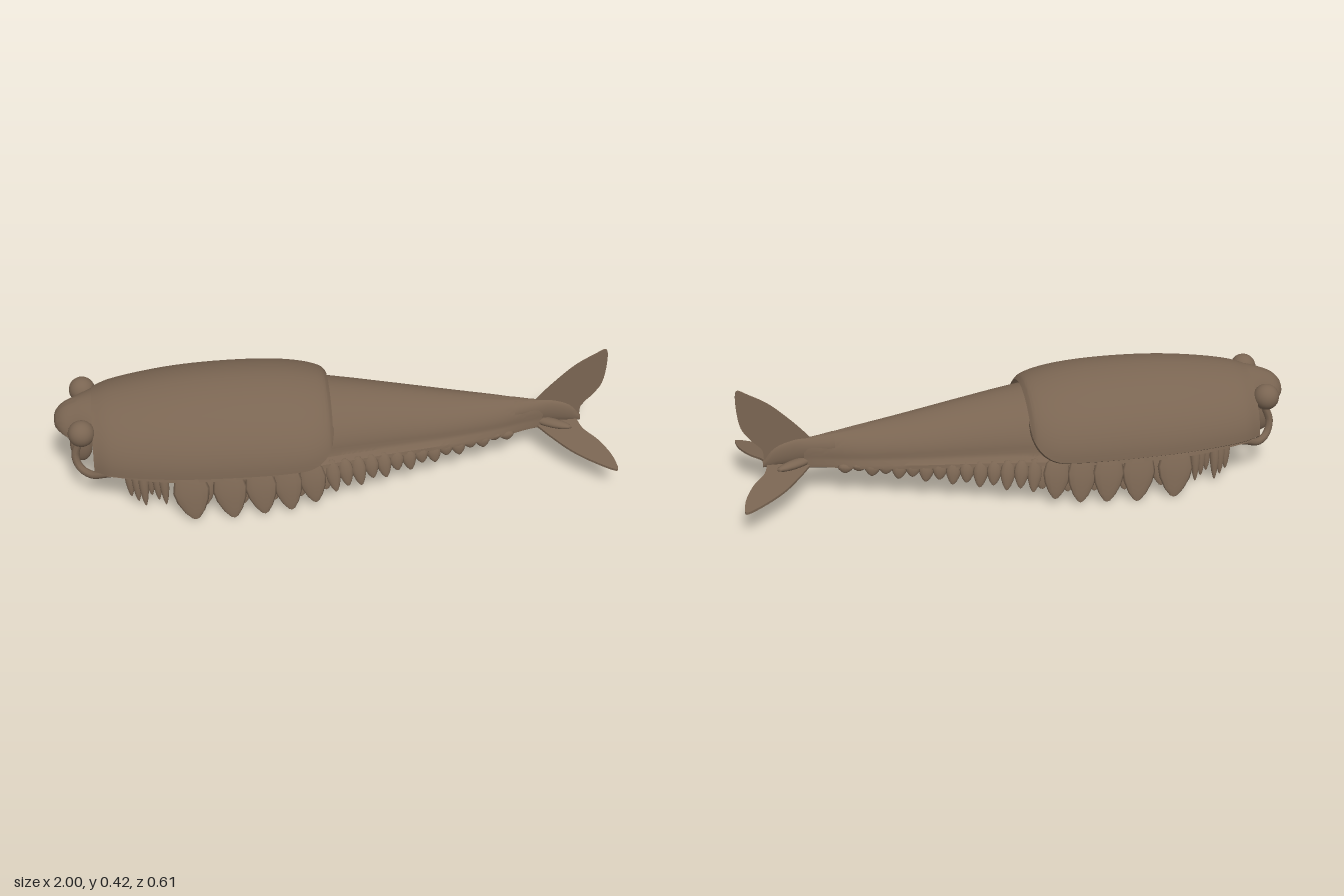
import * as THREE from 'three';
import { toCreasedNormals } from 'three/addons/utils/BufferGeometryUtils.js';

const shellBrown = new THREE.MeshStandardMaterial({ color: 0x7a6552, side: THREE.DoubleSide });
shellBrown.name = 'shell brown';

function part(name, geometry, parent) {
  const mesh = new THREE.Mesh(geometry, shellBrown);
  mesh.name = name;
  parent.add(mesh);
  return mesh;
}

// Skin between rows of [x, y, z] points
function loft(rows) {
  const n = rows[0].length, index = [];
  for (let i = 0; i < rows.length - 1; i++) {
    for (let j = 0; j < n - 1; j++) {
      const a = i * n + j, b = a + n;
      index.push(a, a + 1, b, b, a + 1, b + 1);
    }
  }
  const g = new THREE.BufferGeometry();
  g.setAttribute('position', new THREE.Float32BufferAttribute(rows.flat(2), 3));
  g.setIndex(index);
  return toCreasedNormals(g, 0.7);
}

// Smooth stations of (x, top height, half width)
function stations(points, count) {
  return new THREE.CatmullRomCurve3(points.map(p => new THREE.Vector3(...p))).getPoints(count);
}

// Mirror a half section, running from crown to rim, into a full arch
function arch(x, half) {
  const left = half.map(([z, y]) => [x, y, z]);
  const right = half.slice(1).map(([z, y]) => [x, y, -z]).reverse();
  return [...right, ...left];
}

// Rounded dome from the crown down to the height edge
function dome(top, w, base, edge, steps = 14) {
  const e = 1.08, h = Math.max(top - base, 0.001);
  const end = Math.acos(Math.pow(Math.min(1, Math.max(0, (edge - base) / h)), 1 / e));
  return Array.from({ length: steps + 1 }, (_, i) => {
    const a = end * i / steps;
    return [w * Math.pow(Math.sin(a), e), base + h * Math.pow(Math.max(0, Math.cos(a)), e)];
  });
}

// Flattened leaf hanging from its root, one unit long
const leafProfile = [[0, -1], [0.1, -0.97], [0.27, -0.82], [0.43, -0.58], [0.5, -0.35], [0.42, -0.1], [0.25, 0.05], [0, 0.1]];
const leaf = new THREE.LatheGeometry(leafProfile.map(p => new THREE.Vector2(...p)), 12);

function flap(name, parent, x, y, z, length, width, tilt, lean = 0) {
  const m = part(name, leaf, parent);
  m.position.set(x, y, z);
  m.scale.set(width, length, 0.03);
  m.rotation.set(-tilt, 0, lean);
}

function plate(points, depth) {
  const shape = new THREE.Shape();
  shape.moveTo(...points[0]);
  shape.splineThru(points.slice(1).map(p => new THREE.Vector2(...p)));
  return new THREE.ExtrudeGeometry(shape, { depth, bevelEnabled: false, curveSegments: 28 });
}

export function createModel() {
  const model = new THREE.Group();
  model.name = 'shelledSwimmer';

  // Carapace with rounded rear corners and an inturned rim
  const shell = stations([[-0.862, 0.352, 0.205], [-0.8, 0.37, 0.238], [-0.6, 0.4, 0.278], [-0.4, 0.411, 0.291],
    [-0.2, 0.405, 0.289], [-0.09, 0.388, 0.273], [-0.035, 0.37, 0.25], [-0.018, 0.352, 0.232]], 48);
  part('carapace', loft(shell.map(({ x, y, z }) => {
    const t = Math.min(1, Math.max(0, (x + 0.13) / 0.112));
    const edge = 0.165 + 0.1 * (1 - Math.sqrt(1 - t * t));
    const half = dome(y, z, 0.16, edge);
    const [w, rim] = half[half.length - 1];
    half.push([w * 0.92, rim - 0.013], [w * 0.84, rim - 0.012], [w * 0.82, rim + 0.02]);
    return arch(x, half);
  })), model);

  // Snout
  const snout = stations([[-1, 0.262, 0.004], [-0.993, 0.287, 0.04], [-0.965, 0.316, 0.075], [-0.92, 0.337, 0.1],
    [-0.87, 0.35, 0.14], [-0.82, 0.358, 0.18]], 20);
  part('snout', loft(snout.map(({ x, y, z }) => {
    const base = 0.232 + 0.025 * Math.max(0, (-0.95 - x) / 0.05);
    return arch(x, [...dome(y, z, base, base), [z * 0.85, base - 0.01], [0, base]]);
  })), model);

  // Body under the carapace and abdomen, open below with a flared rim
  const body = stations([[-0.82, 0.3, 0.17], [-0.6, 0.32, 0.22], [-0.3, 0.335, 0.225], [-0.06, 0.345, 0.197],
    [0.04, 0.333, 0.18], [0.2, 0.306, 0.152], [0.4, 0.27, 0.118], [0.6, 0.239, 0.073], [0.7, 0.224, 0.04], [0.77, 0.215, 0.022]], 60);
  part('abdomen', loft(body.map(({ x, y, z }) => {
    const low = x < 0 ? 0.15 : 0.15 - 0.03 * x;
    const half = dome(y, z, low + 0.025, low + 0.025, 12);
    half.push([z * 1.03, low + 0.012], [z * 1.16, low], [z * 1.18, low - 0.012], [z * 1.02, low - 0.016], [z * 0.9, low]);
    return arch(x, half);
  })), model);

  // Tail stalk, closed, flattening into the fins
  const stalk = stations([[0.66, 0.229, 0.048], [0.74, 0.218, 0.026], [0.8, 0.215, 0.018], [0.87, 0.19, 0.012], [0.915, 0.14, 0.003]], 16);
  part('tailStalk', loft(stalk.map(({ x, y, z }) => {
    const low = 0.13 - 0.06 * (x - 0.66);
    return Array.from({ length: 17 }, (_, i) => {
      const a = i / 16 * Math.PI * 2;
      return [x, (y + low) / 2 + (y - low) / 2 * Math.cos(a), z * Math.sin(a)];
    });
  })), model);

  // Upright tail fin
  part('uprightTailFin', plate([[0.73, 0.2], [0.76, 0.237], [0.81, 0.292], [0.88, 0.358], [0.95, 0.402], [0.99, 0.419],
    [0.996, 0.36], [0.985, 0.28], [0.955, 0.23], [0.915, 0.185], [0.905, 0.14], [0.85, 0.125], [0.78, 0.14]], 0.006), model)
    .position.z = -0.003;

  for (const side of [1, -1]) {
    const half = new THREE.Group();
    half.name = side > 0 ? 'leftHalf' : 'rightHalf';
    half.scale.z = side;
    model.add(half);

    // Eye
    const eye = part('eye', new THREE.SphereGeometry(0.047, 24, 16), half);
    eye.position.set(-0.9, 0.285, 0.137);

    // Mouthpart and the curved arm behind it
    const jaw = part('mouthpart', new THREE.SphereGeometry(1, 16, 12), half);
    jaw.scale.set(0.04, 0.065, 0.025);
    jaw.position.set(-0.908, 0.18, 0.06);
    const arm = new THREE.CatmullRomCurve3([[-0.91, 0.23, 0.1], [-0.93, 0.17, 0.105], [-0.915, 0.125, 0.12],
      [-0.875, 0.113, 0.15], [-0.82, 0.135, 0.18], [-0.76, 0.155, 0.2]].map(p => new THREE.Vector3(...p)));
    part('mouthArm', new THREE.TubeGeometry(arm, 24, 0.014, 8), half);

    // Slender front limbs
    for (let i = 0; i < 6; i++) {
      flap('frontLimb', half, -0.745 + i * 0.024, 0.15, 0.165 + 0.012 * (i % 3), 0.115 + 0.012 * (i % 3), 0.036, 0.25, 0.05);
    }

    // Large swimming flaps in an outer and an inner row
    [-0.535, -0.4, -0.29, -0.195, -0.105].forEach((x, i) => {
      const length = [0.165, 0.168, 0.16, 0.157, 0.14][i];
      const z = 0.25 - 0.008 * Math.max(0, i - 2);
      flap('swimmingFlap', half, x, 0.158, z, length, 0.13 - 0.008 * i, 0.33, 0.12);
      flap('innerFlap', half, x + 0.055, 0.155, z - 0.035, length * 0.8, 0.085, 0.38);
      flap('gillFlap', half, x, 0.15, z - 0.07, length * 0.72, 0.07, 0.4, 0.1);
    });

    // Fringe of shrinking flaps along the abdomen
    for (let i = 0; i < 15; i++) {
      const x = -0.03 + i * 0.047, k = 1 - i / 15;
      const z = 0.212 - 0.235 * Math.max(0, x);
      flap('abdomenFlap', half, x, 0.148 - 0.03 * x, z, 0.025 + 0.085 * k - 0.012 * (i % 2), 0.055, 0.4, 0.15);
    }

    // Drooping side tail fin
    const fin = plate([[0.72, 0], [0.75, 0.03], [0.79, 0.09], [0.85, 0.17], [0.92, 0.235], [0.99, 0.282],
      [0.997, 0.25], [0.985, 0.19], [0.955, 0.12], [0.915, 0.06], [0.9, 0]], 0.008);
    fin.rotateX(Math.PI / 2);
    const p = fin.attributes.position;
    for (let i = 0; i < p.count; i++) p.setY(i, p.getY(i) + 0.126 - 0.12 * p.getZ(i));
    fin.computeVertexNormals();
    part('sideTailFin', fin, half);
    const root = part('finRoot', new THREE.SphereGeometry(1, 14, 10), half);
    root.scale.set(0.08, 0.016, 0.022);
    root.position.set(0.8, 0.132, 0.03);
    root.rotation.y = -0.5;
  }
  return model;
}
